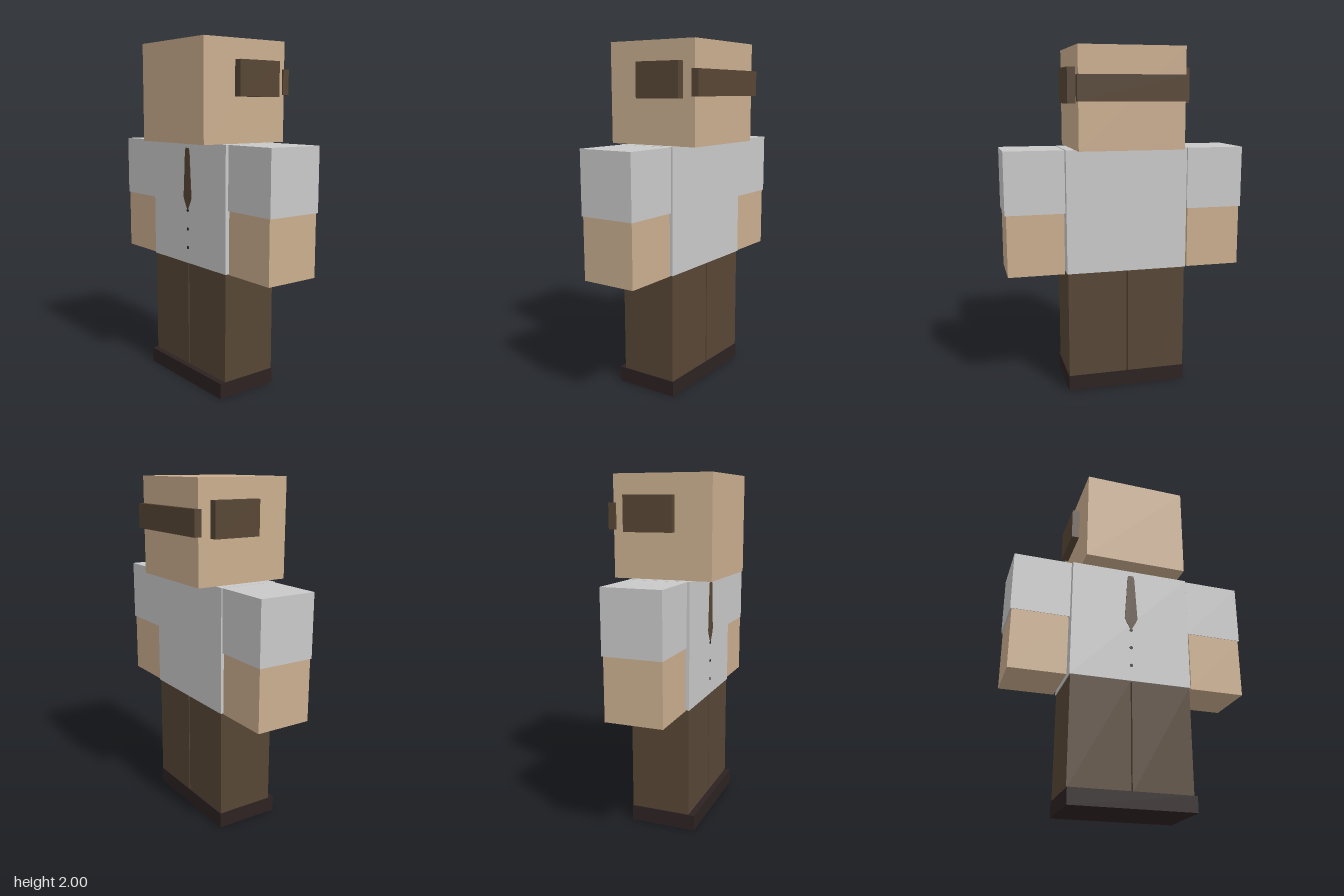
import * as THREE from 'three';

const paint = (name, color) => {
  const m = new THREE.MeshStandardMaterial({ color });
  m.name = name;
  return m;
};

export function createModel() {
  const skin = paint('skin', 0xcaae8f);
  const shirt = paint('shirt grey', 0xc9c9c9);
  const brown = paint('dark brown', 0x574635);
  const shoe = paint('shoe black', 0x2d2222);

  const model = new THREE.Group();
  model.name = 'blockFigure';

  const add = (name, geometry, material) => {
    const mesh = new THREE.Mesh(geometry, material);
    mesh.name = name;
    model.add(mesh);
    return mesh;
  };
  // Box given by its minimum and maximum on each axis
  const box = (name, material, [x0, x1], [y0, y1], [z0, z1]) =>
    add(name, new THREE.BoxGeometry(x1 - x0, y1 - y0, z1 - z0), material)
      .position.set((x0 + x1) / 2, (y0 + y1) / 2, (z0 + z1) / 2);
  const pair = (name, material, [x0, x1], y, z) => {
    box('left' + name, material, [x0, x1], y, z);
    box('right' + name, material, [-x1, -x0], y, z);
  };

  // Head with hair patches at the sides and back
  box('head', skin, [-0.304, 0.304], [1.432, 2], [-0.272, 0.3]);
  pair('SideHair', brown, [0.295, 0.35], [1.688, 1.886], [-0.196, 0.088]);
  box('backHair', brown, [-0.314, 0.314], [1.7, 1.844], [-0.3, -0.257]);

  // Body and arms
  box('torso', shirt, [-0.358, 0.358], [0.718, 1.432], [-0.163, 0.194]);
  pair('Sleeve', shirt, [0.364, 0.705], [1.074, 1.432], [-0.159, 0.181]);
  pair('Forearm', skin, [0.37, 0.697], [0.718, 1.076], [-0.153, 0.178]);

  // Legs and shoes
  pair('Leg', brown, [0.004, 0.353], [0.088, 0.72], [-0.157, 0.19]);
  box('shoes', shoe, [-0.357, 0.357], [0, 0.09], [-0.161, 0.226]);

  // Tie: half outline mirrored about x = 0
  const half = [[0.016, 1.4], [0.022, 1.375], [0.027, 1.29], [0.039, 1.11], [0.028, 1.085]];
  const outline = [
    ...half, [0, 1.035],
    ...half.map(([x, y]) => [-x, y]).reverse(),
  ].map(([x, y]) => new THREE.Vector2(x, y));
  add('tie', new THREE.ExtrudeGeometry(new THREE.Shape(outline),
    { depth: 0.004, bevelEnabled: false }), brown).position.z = 0.193;

  // Shirt buttons
  for (const y of [1.035, 0.923, 0.812]) {
    const button = add('button', new THREE.CylinderGeometry(0.01, 0.01, 0.004, 10), shoe);
    button.rotation.x = Math.PI / 2;
    button.position.set(0, y, 0.194);
  }
  return model;
}
